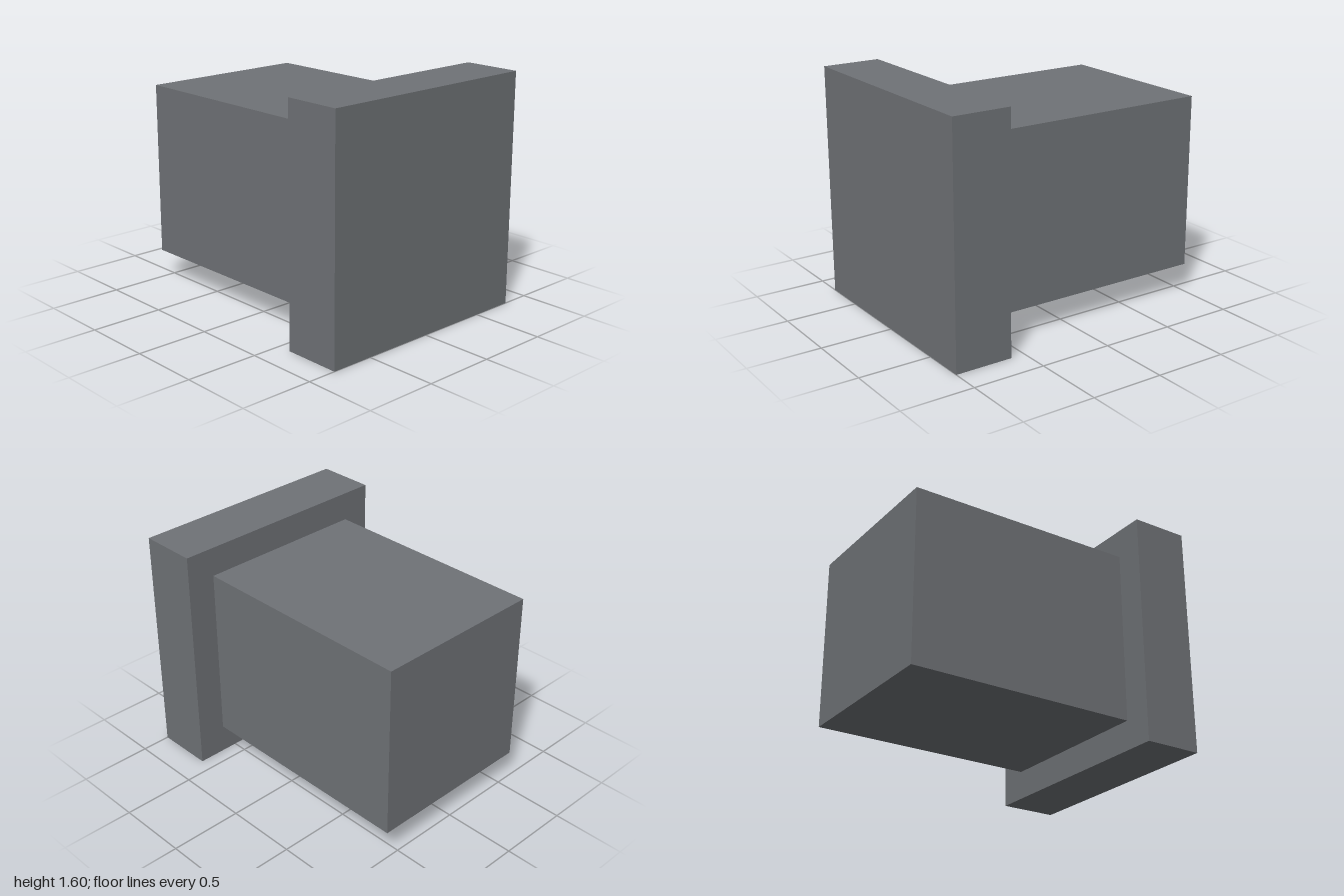
import * as THREE from 'three';

export function createModel() {
  const group = new THREE.Group();
  const grey = new THREE.MeshStandardMaterial({ color: 0x6f7276 });
  grey.name = 'slate grey';

  const addBox = (name, width, height, depth, z) => {
    const mesh = new THREE.Mesh(new THREE.BoxGeometry(width, height, depth), grey);
    mesh.name = name;
    mesh.position.set(0, 0.8, z);
    group.add(mesh);
  };

  // Wide square plate at the front
  addBox('facePlate', 1.6, 1.6, 0.4, 0.8);
  // Narrower block running back from the plate
  addBox('rearBlock', 1.2, 1.2, 1.6, -0.2);

  return group;
}
